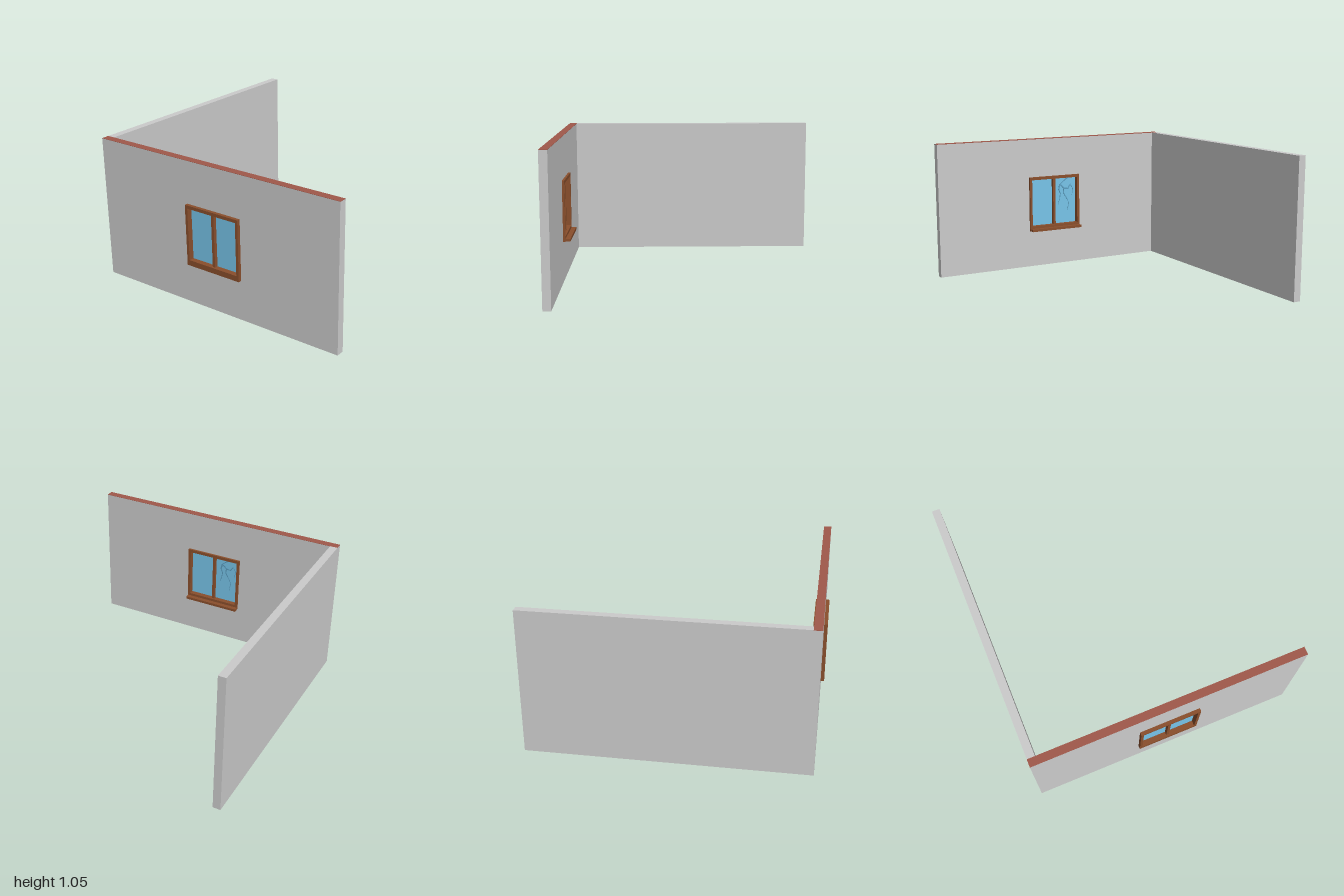
import * as THREE from 'three';

const material = (color) => new THREE.MeshStandardMaterial({ color, flatShading: true });

const rect = (Type, a0, a1, b0, b1) =>
  new Type([[a0, b0], [a1, b0], [a1, b1], [a0, b1]].map((p) => new THREE.Vector2(...p)));

export function createModel() {
  const model = new THREE.Group();
  const grey = material(0xcccccc);
  const wood = material(0x8a4f2c);
  const blue = material(0x77c4e9);
  const crackBlue = material(0x5a9cbe);
  const brick = material(0xa0584a);

  const add = (parent, name, geometry, mat) => {
    const mesh = new THREE.Mesh(geometry, mat);
    mesh.name = name;
    parent.add(mesh);
    return mesh;
  };

  // Box given by its limits on each axis
  const box = (parent, name, mat, x0, x1, y0, y1, z0, z1) =>
    add(parent, name, new THREE.BoxGeometry(x1 - x0, y1 - y0, z1 - z0)
      .translate((x0 + x1) / 2, (y0 + y1) / 2, (z0 + z1) / 2), mat);

  // Outline in the (z, y) plane, extruded between two x values
  const slab = (parent, name, mat, shape, x0, x1) =>
    add(parent, name, new THREE.ExtrudeGeometry(shape, { depth: x1 - x0, bevelEnabled: false })
      .rotateY(-Math.PI / 2).translate(x1, 0, 0), mat);

  // Walls: the side one is pierced for the window and has a brick-coloured top
  const height = 1.05;
  const wall = rect(THREE.Shape, -1, 1, 0, height - 0.002);
  wall.holes.push(rect(THREE.Path, -0.215, 0.22, 0.3, 0.735));
  slab(model, 'sideWall', grey, wall, -0.975, -0.917);
  box(model, 'sideWallTop', brick, -0.975, -0.917, height - 0.002, height, -1, 1);
  box(model, 'backWall', grey, -0.917, 1, 0, height, -1, -0.943);

  // Window frame, mullion and sill
  const windowGroup = new THREE.Group();
  windowGroup.name = 'window';
  model.add(windowGroup);
  const frame = rect(THREE.Shape, -0.22, 0.23, 0.295, 0.74);
  frame.holes.push(rect(THREE.Path, -0.2, 0.21, 0.335, 0.717));
  slab(windowGroup, 'windowFrame', wood, frame, -1, -0.9);
  box(windowGroup, 'mullion', wood, -0.985, -0.915, 0.335, 0.717, -0.006, 0.015);
  box(windowGroup, 'windowSill', wood, -0.9, -0.865, 0.295, 0.315, -0.22, 0.225);

  // Glass panes
  const glassFront = -0.94;
  for (const [z0, z1] of [[-0.2, -0.006], [0.015, 0.21]]) {
    box(windowGroup, 'glassPane', blue, glassFront - 0.02, glassFront, 0.335, 0.717, z0, z1);
  }

  // Cracks: tapering zigzag strips over the glass, points as (z, y)
  const cracks = [
    [[-0.134, 0.715], [-0.09, 0.685], [-0.058, 0.658]],
    [[-0.058, 0.66], [-0.048, 0.615], [-0.064, 0.583], [-0.056, 0.54], [-0.042, 0.492]],
    [[-0.058, 0.66], [-0.096, 0.626], [-0.091, 0.588], [-0.123, 0.535], [-0.139, 0.503], [-0.128, 0.433]],
    [[-0.096, 0.626], [-0.134, 0.62], [-0.155, 0.657], [-0.177, 0.62], [-0.171, 0.567]],
  ];
  for (const points of cracks) {
    const path = points.map((p) => new THREE.Vector2(...p));
    const sides = [[], []];
    path.forEach((p, i) => {
      const along = path[Math.min(i + 1, path.length - 1)].clone()
        .sub(path[Math.max(i - 1, 0)]).normalize();
      const half = 0.006 * (1 - 0.85 * i / (path.length - 1));
      const offset = new THREE.Vector2(-along.y, along.x).multiplyScalar(half);
      sides[0].push(p.clone().add(offset));
      sides[1].unshift(p.clone().sub(offset));
    });
    slab(windowGroup, 'glassCrack', crackBlue, new THREE.Shape(sides.flat()), glassFront, glassFront + 0.003);
  }

  return model;
}
